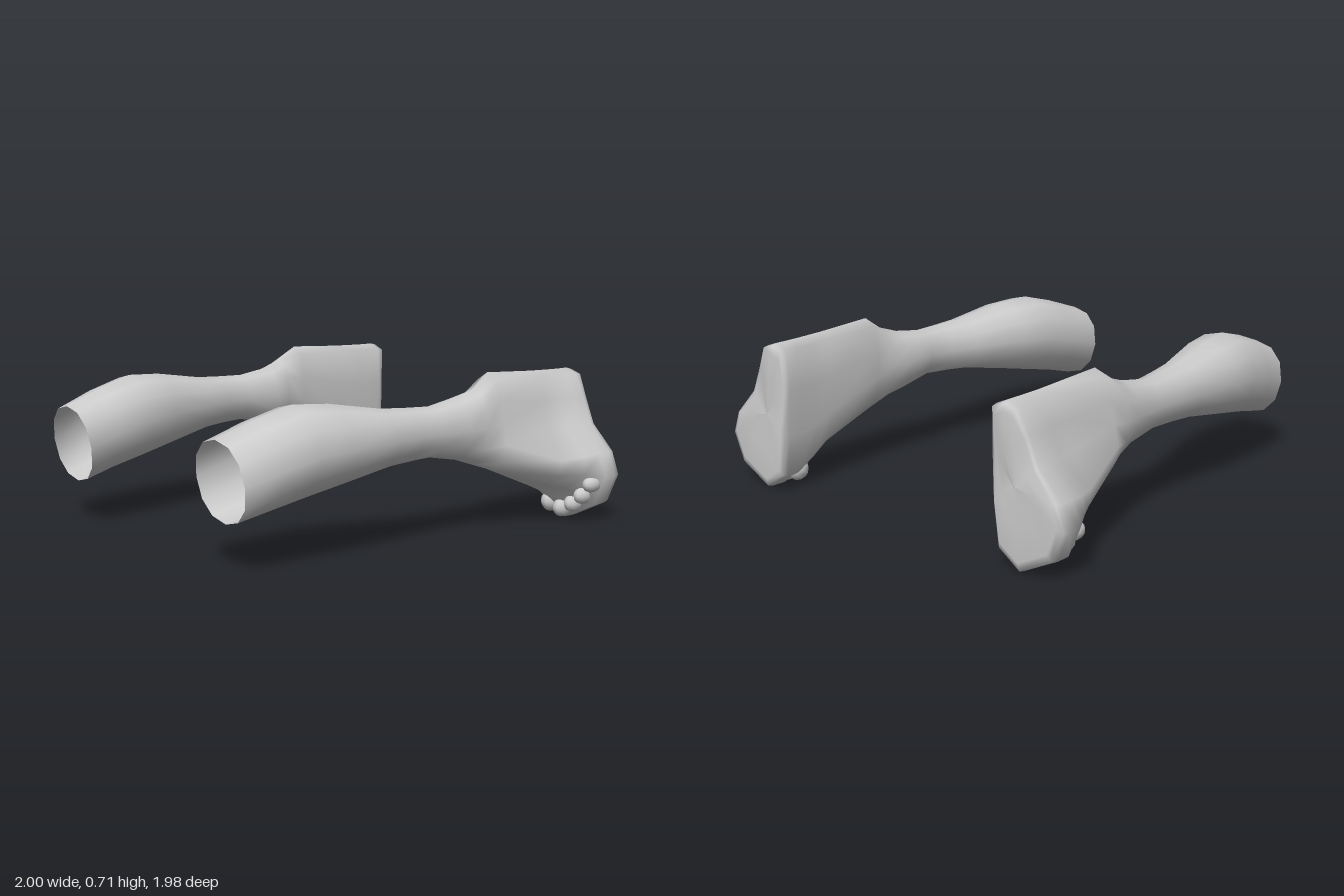
import * as THREE from 'three';

const N = 12; // points per cross-section, clockwise from the top

// Oval calf section: z, inner x, outer x, bottom y, top y, tilt of the cut
function oval(z, x0, x1, y0, y1, tilt = 0) {
  const soft = v => Math.sign(v) * Math.abs(v) ** 0.92;
  return Array.from({ length: N }, (_, i) => {
    const a = (i / N) * Math.PI * 2;
    const s = soft(Math.sin(a)), c = soft(Math.cos(a));
    return [(x0 + x1) / 2 + s * (x1 - x0) / 2, (y0 + y1) / 2 + c * (y1 - y0) / 2, z + c * tilt];
  });
}

// Foot section from outline points at one depth
const outline = (z, pts) => pts.map(([x, y]) => [x, y, z]);

// Shrinks a section towards the middle of the sole
const inset = (ring, k, z, dip) => ring.map(([x, y], i) => [
  0.745 + (x - 0.745) * k, 0.37 + (y - 0.37) * k, z + ([2, 3, 10].includes(i) ? dip : 0)]);

function legRings() {
  const rings = [
    oval(0.965, 0.41, 0.74, 0.21, 0.56, 0.025),
    oval(0.8, 0.415, 0.78, 0.245, 0.625),
    oval(0.63, 0.425, 0.80, 0.28, 0.67),
    oval(0.46, 0.46, 0.81, 0.315, 0.66),
    oval(0.2, 0.54, 0.795, 0.365, 0.618),
    oval(0.06, 0.575, 0.785, 0.375, 0.61),
    oval(-0.07, 0.60, 0.78, 0.38, 0.605),
    oval(-0.23, 0.58, 0.79, 0.35, 0.63),
    oval(-0.32, 0.605, 0.80, 0.32, 0.66),
    outline(-0.42, [[.69, .725], [.745, .695], [.775, .60], [.80, .50], [.82, .41], [.80, .33],
      [.74, .285], [.68, .29], [.63, .35], [.61, .45], [.61, .57], [.635, .69]]),
    outline(-0.7, [[.69, .71], [.75, .685], [.778, .58], [.81, .46], [.90, .32], [.89, .245],
      [.80, .19], [.70, .175], [.65, .22], [.63, .34], [.62, .52], [.635, .685]]),
    outline(-0.8, [[.69, .707], [.75, .685], [.785, .58], [.83, .46], [.94, .33], [.95, .25],
      [.84, .17], [.73, .125], [.65, .15], [.635, .30], [.62, .50], [.635, .68]]),
  ];
  const sole = [[.69, .705], [.75, .685], [.80, .58], [.85, .46], [.96, .34], [1, .235],
    [.94, .10], [.77, .015], [.66, .09], [.635, .28], [.62, .50], [.63, .68]];
  rings.push(
    outline(-0.885, sole),
    outline(-0.95, sole),
    inset(sole, 0.98, -0.98, 0.01),
    inset(sole, 0.88, -0.99, 0.02),
    inset(sole, 0.5, -0.99, 0.01),
    inset(sole, 0.01, -0.985, 0));
  return rings;
}

// Joins the sections into a skin; side = -1 mirrors it
function skin(rings, side) {
  const pos = rings.flat().flatMap(([x, y, z]) => [x * side, y, z]);
  const index = [];
  const tri = (a, b, c) => index.push(...(side > 0 ? [a, b, c] : [a, c, b]));
  for (let i = 0; i < rings.length - 1; i++) {
    for (let j = 0; j < N; j++) {
      const k = (j + 1) % N;
      const a = i * N + j, b = i * N + k, c = a + N, d = b + N;
      tri(a, b, c);
      tri(b, d, c);
    }
  }
  const g = new THREE.BufferGeometry();
  g.setAttribute('position', new THREE.Float32BufferAttribute(pos, 3));
  g.setIndex(index);
  g.computeVertexNormals();
  return g;
}

export function createModel() {
  const model = new THREE.Group();
  const material = new THREE.MeshStandardMaterial({ color: 0xcccccc, side: THREE.DoubleSide });
  // Toes along the lower outer edge of the foot: x, y, radius
  const toes = [[.705, .085, .05], [.775, .065, .045], [.84, .095, .042], [.895, .14, .04], [.945, .20, .038]];

  for (const side of [1, -1]) {
    const leg = new THREE.Group();
    leg.name = side > 0 ? 'leftLeg' : 'rightLeg';

    // Open calf, ankle, foot and closed sole
    const body = new THREE.Mesh(skin(legRings(), side), material);
    body.name = 'calfAndFoot';
    leg.add(body);

    toes.forEach(([x, y, r], i) => {
      const toe = new THREE.Mesh(new THREE.SphereGeometry(r, 10, 8), material);
      toe.name = 'toe' + (i + 1);
      toe.position.set(x * side, y, -0.855);
      toe.scale.set(0.9, 1, 0.055 / r);
      leg.add(toe);
    });
    model.add(leg);
  }
  return model;
}
